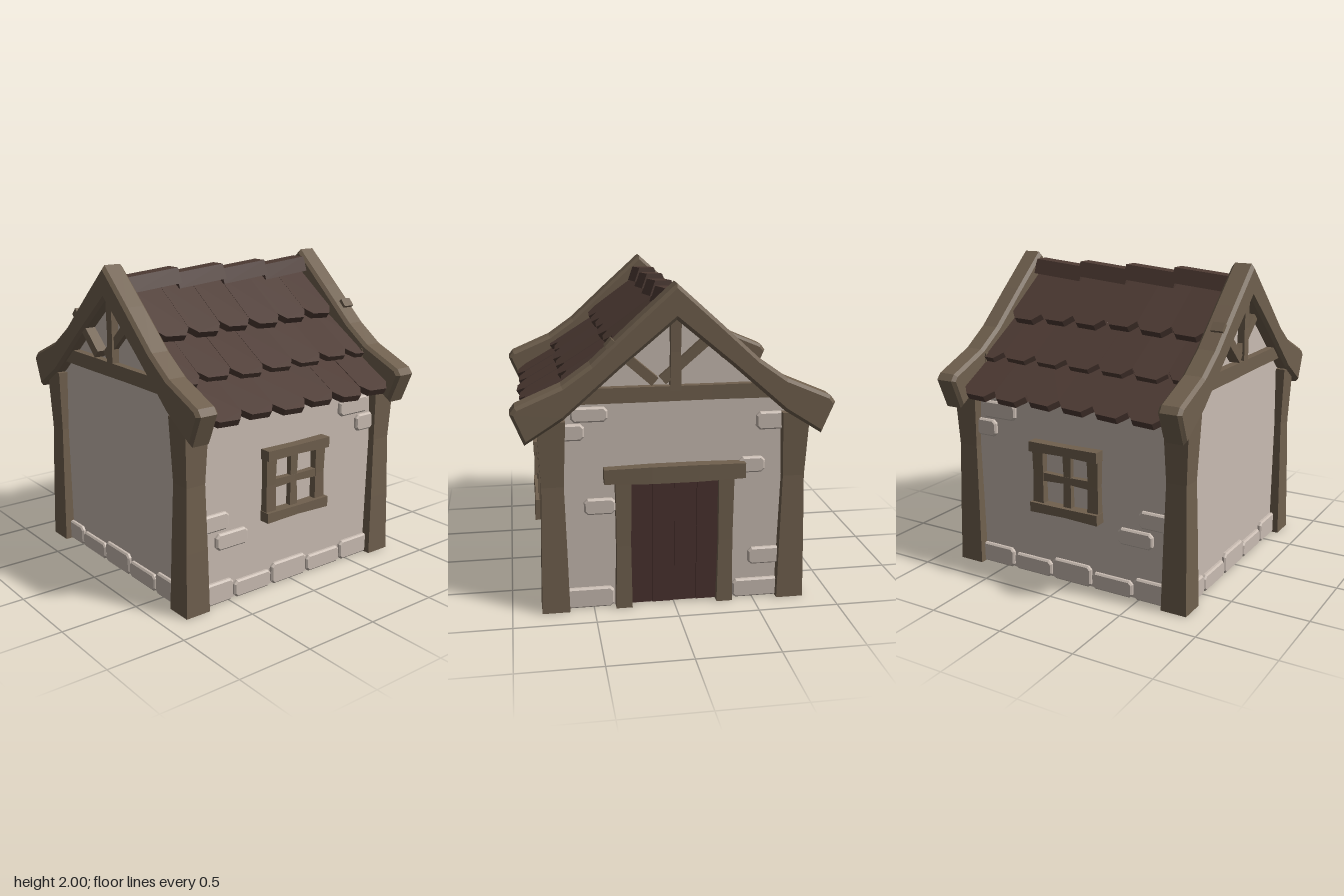
import * as THREE from 'three';

const mat = (name, color) => Object.assign(new THREE.MeshStandardMaterial({ color }), { name });

export function createModel() {
  const plaster = mat('plaster', 0xc9bcb2);
  const wood = mat('timber', 0x70604e);
  const roofMat = mat('roof tile', 0x4d3a33);
  const doorMat = mat('door plank', 0x4a322f);
  const house = new THREE.Group();
  house.name = 'cottage';

  let seed = 7;
  const rnd = () => (seed = (seed * 16807) % 2147483647) / 2147483647 - 0.5;

  const add = (parent, name, geo, material, x = 0, y = 0, z = 0, rz = 0) => {
    const m = new THREE.Mesh(geo, material);
    m.name = name;
    m.position.set(x, y, z);
    m.rotation.z = rz;
    parent.add(m);
    return m;
  };
  const group = (name, parent = house) => {
    const g = new THREE.Group();
    g.name = name;
    parent.add(g);
    return g;
  };
  const poly = (pts) => new THREE.Shape(pts.map((p) => new THREE.Vector2(p[0], p[1])));
  const mirrored = (half) => [...half, ...half.slice().reverse().filter((p) => p[0] !== 0).map(([x, y]) => [-x, y])];

  // Extruded plate from z = 0 to depth, with an inward chamfer
  const plate = (pts, depth, bevel = 0) => {
    const g = new THREE.ExtrudeGeometry(poly(pts), {
      depth: depth - 2 * bevel, bevelEnabled: bevel > 0, bevelSize: bevel,
      bevelThickness: bevel, bevelOffset: -bevel, bevelSegments: 1,
    });
    return g.translate(0, 0, bevel);
  };

  // Hewn timber along y whose thickness varies at even steps
  const timber = (w, len, d, scales = [1, 0.9, 1]) => {
    const n = scales.length - 1;
    let g = new THREE.BoxGeometry(w, len, d, 1, n, 1);
    const p = g.attributes.position;
    for (let i = 0; i < p.count; i++) {
      const s = scales[Math.round((p.getY(i) / len + 0.5) * n)];
      p.setX(i, p.getX(i) * s);
      p.setZ(i, p.getZ(i) * s);
    }
    g = g.toNonIndexed();
    g.computeVertexNormals();
    return g;
  };

  // Solid plaster body with gable tops
  const outline = mirrored([[0, 1.8], [0.34, 1.55], [0.6, 1.33], [0.755, 1.215], [0.755, 0]]);
  add(house, 'walls', plate(outline, 1.57), plaster, 0, 0, -0.785);

  // Corner posts
  for (const x of [-0.735, 0.735]) for (const z of [-0.765, 0.765]) {
    add(house, 'cornerPost', timber(0.17, 1.21, 0.17, [1, 0.9, 0.78, 0.98]), wood, x, 0.605, z);
  }

  // Each wall face: local +z points outward, local x runs along the wall
  const face = (name, angle, dist) => {
    const g = group(name);
    g.rotation.y = angle;
    g.position.set(Math.sin(angle) * dist, 0, Math.cos(angle) * dist);
    return g;
  };
  const brick = (g, name, x0, x1, y0, y1) => {
    const w = (x1 - x0) / 2, h = (y1 - y0) / 2, c = 0.022;
    const pts = [[-w + c, -h], [w - c, -h], [w, -h + c], [w, h - c], [w - c, h], [-w + c, h], [-w, h - c], [-w, -h + c]];
    add(g, name, plate(pts, 0.045, 0.01), plaster, (x0 + x1) / 2, (y0 + y1) / 2, -0.02);
  };
  const baseStones = (g, edges, tops, s = 1) => tops.forEach((top, i) => {
    if (!top) return;
    const a = edges[i] * s, b = edges[i + 1] * s;
    brick(g, 'baseStone', Math.min(a, b) + 0.004, Math.max(a, b) - 0.004, 0, top);
  });

  // Front
  const front = face('frontWall', 0, 0.785);
  baseStones(front, [-0.69, -0.48, -0.18, 0.12, 0.42, 0.69], [0.13, 0.11, 0.14, 0.11, 0.145]);

  // Sides with window frames and loose bricks
  for (const s of [1, -1]) {
    const g = face(s > 0 ? 'leftWall' : 'rightWall', s * Math.PI / 2, 0.755);
    baseStones(g, [-0.71, -0.46, -0.16, 0.14, 0.44, 0.71], [0.14, 0.11, 0.14, 0.11, 0.13], s);
    for (const [a, b, y0, y1] of [[-0.72, -0.5, 0.475, 0.585], [-0.595, -0.355, 0.345, 0.45],
      [0.4, 0.655, 1.01, 1.12], [0.555, 0.71, 0.885, 0.995]]) {
      brick(g, 'wallBrick', Math.min(a * s, b * s), Math.max(a * s, b * s), y0, y1);
    }
    const w = group('windowFrame', g);
    for (const y of [0.885, 0.485]) {
      add(w, 'windowRail', timber(0.068, 0.5, 0.1, [1, 0.85, 0.95]), wood, s * 0.01, y, 0.025, Math.PI / 2);
    }
    for (const x of [-0.195, 0.21]) add(w, 'windowJamb', timber(0.08, 0.36, 0.08), wood, s * x, 0.685, 0.01);
    add(w, 'windowMullion', timber(0.06, 0.36, 0.06, [1, 0.85, 1]), wood, 0, 0.685, 0.008);
    add(w, 'windowCrossbar', timber(0.055, 0.36, 0.07, [1, 0.8, 1]), wood, s * 0.01, 0.69, 0.008, Math.PI / 2);
  }

  // Back with door; local x is reversed here
  const back = face('backWall', Math.PI, 0.785);
  baseStones(back, [-0.69, -0.37, 0.37, 0.69], [0.13, 0, 0.12]);
  for (const b of [[-0.55, -0.36, 0.61, 0.71], [0.4, 0.56, 0.83, 0.93], [0.47, 0.69, 0.22, 0.33],
    [0.5, 0.7, 1.1, 1.21], [-0.62, -0.4, 1.19, 1.28], [-0.7, -0.54, 1.08, 1.18]]) {
    brick(back, 'wallBrick', ...b);
  }
  const door = group('door', back);
  for (let i = 0; i < 4; i++) {
    add(door, 'doorPlank', new THREE.BoxGeometry(0.134, 0.8, 0.04), doorMat, (i - 1.5) * 0.138, 0.41, i % 2 ? 0.002 : -0.003);
  }
  add(door, 'doorBacking', new THREE.BoxGeometry(0.54, 0.8, 0.02), doorMat, 0, 0.41, -0.003);
  for (const x of [-0.315, 0.315]) add(door, 'doorJamb', timber(0.1, 0.82, 0.12, [1, 0.88, 0.95]), wood, x, 0.41, 0);
  add(door, 'doorLintel', timber(0.105, 0.86, 0.15, [0.9, 1, 1, 0.85]), wood, 0, 0.86, 0, Math.PI / 2);

  // Gable frames, the second turned half round
  const barge = [[0, 2], [0.25, 1.775], [0.5, 1.545], [0.67, 1.425], [0.94, 1.31], [0.97, 1.27], [0.89, 1.08],
    [0.66, 1.225], [0.33, 1.515], [0, 1.79]];
  const bargePts = [...barge, ...barge.slice(1, -1).reverse().map(([x, y]) => [-x, y])];
  for (const angle of [0, Math.PI]) {
    const g = group(angle ? 'backGable' : 'frontGable');
    g.rotation.y = angle;
    // Left and right halves of the curved bargeboard
    add(g, 'bargeboard', plate(bargePts, 0.15, 0.02), wood, 0, 0, 0.72);
    add(g, 'tieBeam', timber(0.092, 1.3, 0.12, [1, 0.96, 1, 1]), wood, 0, 1.353, 0.775, Math.PI / 2);
    add(g, 'kingPost', timber(0.065, 0.46, 0.09, [1, 0.9, 1]), wood, 0, 1.6, 0.79);
    add(g, 'longStrut', timber(0.06, 0.36, 0.08, [1, 0.95, 1]), wood, -0.262, 1.55, 0.815, 0.85);
    add(g, 'shortStrut', timber(0.06, 0.35, 0.07, [1, 0.95, 1]), wood, 0.055, 1.545, 0.785, -0.85);
  }

  // Roof: three overlapping rows of tiles per slope [x0, y0, x1, y1]
  const rows = [[0.02, 1.865, 0.38, 1.605], [0.29, 1.605, 0.65, 1.38], [0.57, 1.385, 0.905, 1.195]];
  for (const angle of [0, Math.PI]) {
    const slope = group(angle ? 'rightRoofSlope' : 'leftRoofSlope');
    slope.rotation.y = angle;
    rows.forEach(([x0, y0, x1, y1], r) => {
      const up = new THREE.Vector3(x0 - x1, y0 - y1, 0);
      const len = up.length();
      up.normalize();
      const out = new THREE.Vector3(up.y, -up.x, 0);
      const basis = new THREE.Matrix4().makeBasis(new THREE.Vector3(0, 0, -1), up, out);
      const n = r === 1 ? 7 : 6;
      for (let i = 0; i < n; i++) {
        const drop = rnd() * 0.03, w = 0.12;
        const pts = [[-w, len], [-w, 0.06 - drop], [-0.07, -drop], [0.07, -drop - 0.01], [w, 0.05 - drop], [w, len]];
        const geo = plate(pts.reverse(), 0.045).translate(0, 0, -0.045);
        geo.rotateY(rnd() * 0.06);
        const t = add(slope, 'roofTile', geo, roofMat, x1, y1, (i - (n - 1) / 2) * 0.24);
        t.quaternion.setFromRotationMatrix(basis);
      }
    });
  }

  // Ridge caps, each tipped up over the next
  const cap = [[-0.085, -0.05], [0.085, -0.05], [0.05, 0.045], [-0.05, 0.045]];
  for (let i = 0; i < 4; i++) {
    const c = add(house, 'ridgeCap', plate(cap, 0.375).translate(0, 0, -0.1875), roofMat, 0, 1.893, 0.53 - i * 0.355);
    c.rotation.x = 0.09;
  }
  return house;
}
